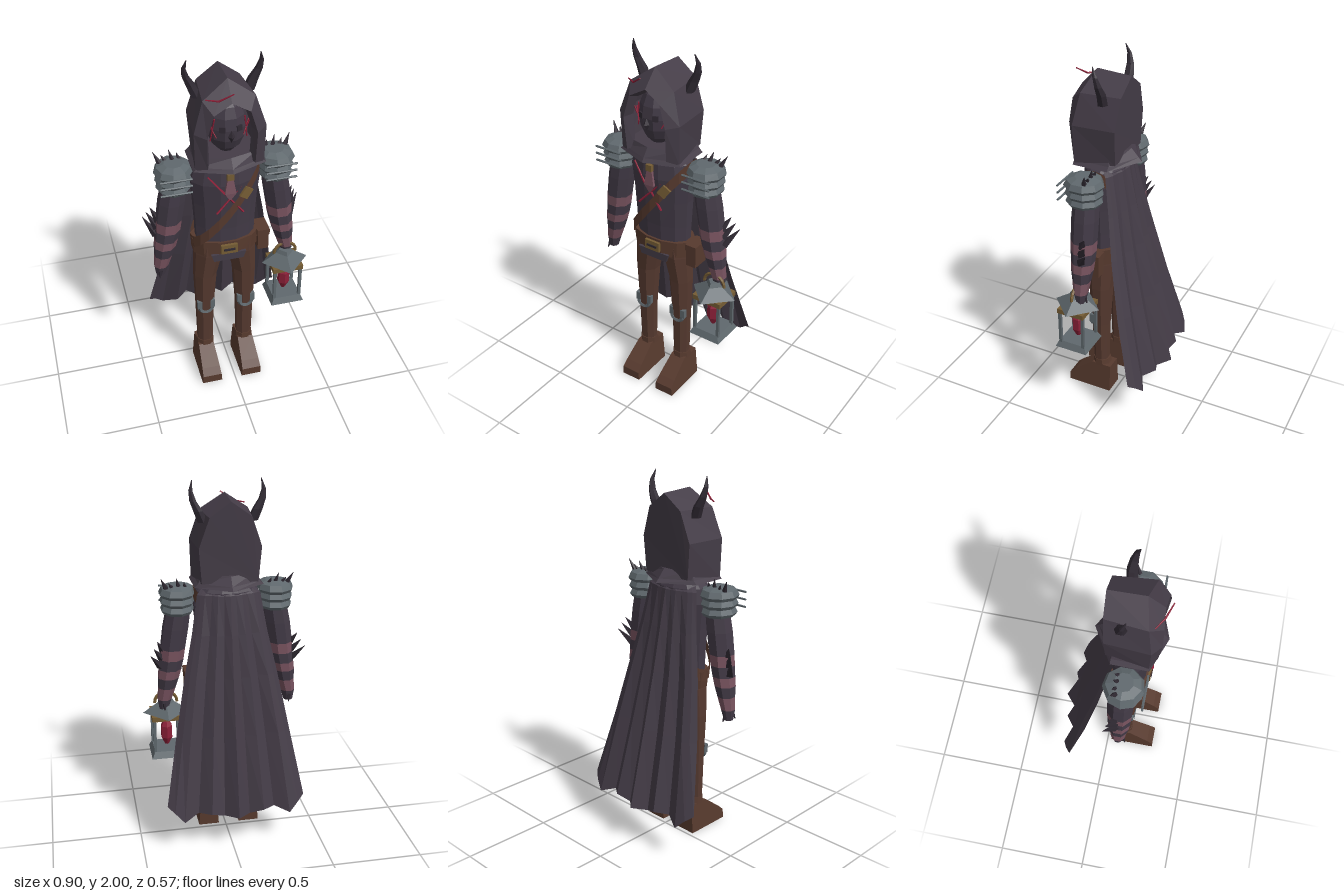
import * as THREE from 'three';

const mat = (name, color, side = THREE.FrontSide) => {
  const m = new THREE.MeshStandardMaterial({ color, flatShading: true, side });
  m.name = name;
  return m;
};

export function createModel() {
  const root = new THREE.Group();
  root.name = 'hoodedWanderer';
  const cloth = mat('cloakCloth', 0x443c47, THREE.DoubleSide);
  const tunic = mat('tunicCloth', 0x423a46);
  const trousers = mat('trouserBrown', 0x55392f);
  const leather = mat('bootLeather', 0x573a2e, THREE.DoubleSide);
  const steel = mat('steel', 0x5f686d);
  const pink = mat('wrapPink', 0x78535f);
  const gold = mat('brass', 0x755c34);
  const red = mat('crimson', 0x8c2038);
  const black = mat('hornBlack', 0x302a33);

  // Everything but the lantern is symmetric about this group's own x = 0
  const body = new THREE.Group();
  body.name = 'figure';
  body.position.x = -0.02;
  root.add(body);

  const add = (name, geo, material, x = 0, y = 0, z = 0, parent = body) => {
    const m = new THREE.Mesh(geo, material);
    m.name = name;
    m.position.set(x, y, z);
    parent.add(m);
    return m;
  };

  // Skin a list of point rings; closed rings wrap round, caps are fans
  const loft = (rings, closed = true, capStart = closed, capEnd = closed) => {
    const pos = [], n = rings[0].length;
    const tri = (...p) => p.forEach(v => pos.push(...v));
    for (let i = 0; i < rings.length - 1; i++)
      for (let j = 0; j < (closed ? n : n - 1); j++) {
        const k = (j + 1) % n, a = rings[i], b = rings[i + 1];
        tri(a[j], b[j], a[k]);
        tri(a[k], b[j], b[k]);
      }
    const last = rings[rings.length - 1];
    for (let j = 1; j < n - 1; j++) {
      if (capStart) tri(rings[0][0], rings[0][j], rings[0][j + 1]);
      if (capEnd) tri(last[0], last[j + 1], last[j]);
    }
    const g = new THREE.BufferGeometry();
    g.setAttribute('position', new THREE.Float32BufferAttribute(pos, 3));
    g.computeVertexNormals();
    return g;
  };

  // Rows of [x, y, z, rx, rz] going upwards make a limb of elliptical rings
  const limb = (rows, sides = 8) => loft(rows.map(([x, y, z, rx, rz]) =>
    Array.from({ length: sides }, (_, i) => {
      const a = (i + 0.5) / sides * Math.PI * 2;
      return [x + Math.cos(a) * rx, y, z + Math.sin(a) * rz];
    })));

  // Tapered rod between two points
  const rod = (name, from, to, r0, r1, material, parent = body, sides = 5) => {
    const a = new THREE.Vector3(...from), b = new THREE.Vector3(...to), d = b.clone().sub(a);
    const m = add(name, new THREE.CylinderGeometry(r1, r0, d.length(), sides), material, 0, 0, 0, parent);
    m.position.copy(a).add(b).multiplyScalar(0.5);
    m.quaternion.setFromUnitVectors(new THREE.Vector3(0, 1, 0), d.normalize());
    return m;
  };

  // Torso, belt, loin flap
  add('torso', limb([[0, 0.9, 0.1, 0.16, 0.09], [0, 1.05, 0.1, 0.165, 0.095], [0, 1.2, 0.1, 0.173, 0.108],
    [0, 1.34, 0.1, 0.188, 0.12], [0, 1.42, 0.1, 0.17, 0.112], [0, 1.5, 0.1, 0.09, 0.07]], 12), tunic);
  add('belt', limb([[0, 0.87, 0.098, 0.18, 0.104], [0, 0.965, 0.098, 0.188, 0.106]], 12), leather);
  add('loinFlap', new THREE.CylinderGeometry(0.1, 0.085, 0.045, 4, 1).rotateY(Math.PI / 4)
    .scale(1.35, 1, 0.1), cloth, 0, 0.865, 0.195);
  add('buckle', new THREE.BoxGeometry(0.09, 0.055, 0.02), gold, 0, 0.925, 0.205);
  add('buckleSlot', new THREE.BoxGeometry(0.06, 0.012, 0.008), black, 0, 0.925, 0.216);
  add('pouch', new THREE.BoxGeometry(0.06, 0.12, 0.1), leather, 0.205, 0.895, 0.1);
  add('pouchFlap', new THREE.BoxGeometry(0.068, 0.035, 0.108), leather, 0.205, 0.948, 0.1);

  // Diagonal chest strap
  const strapRing = dy => Array.from({ length: 20 }, (_, i) => {
    const a = i / 20 * Math.PI * 2, x = 0.183 * Math.cos(a);
    return [x, 1.175 + 1.28 * x + dy, 0.1 + 0.127 * Math.sin(a)];
  });
  add('chestStrap', loft([strapRing(-0.035), strapRing(0.035)], true, false, false), leather);
  const sb = add('strapBuckle', new THREE.BoxGeometry(0.05, 0.06, 0.012), gold, 0.085, 1.285, 0.218);
  sb.rotation.set(0, 0.25, -0.65);

  // Necktie and crossed scars
  add('tie', limb([[0, 1.26, 0.222, 0.006, 0.006], [0, 1.3, 0.224, 0.042, 0.01],
    [0, 1.4, 0.218, 0.018, 0.01]], 4), pink);
  add('tieKnot', new THREE.BoxGeometry(0.036, 0.035, 0.02), gold, 0, 1.4, 0.222);
  for (const [x0, y0, x1, y1] of [[-0.11, 1.4, -0.03, 1.3], [-0.08, 1.36, 0.07, 1.17], [0.06, 1.32, -0.07, 1.18]])
    rod('chestScar', [x0, y0, 0.216 - Math.abs(x0) * 0.15], [x1, y1, 0.222], 0.004, 0.006, red);

  // Arm centre and radius by height
  const armRows = [[0.355, 0.74, 0.026], [0.35, 0.8, 0.04], [0.335, 0.87, 0.05], [0.325, 0.93, 0.06],
    [0.315, 0.98, 0.064], [0.305, 1.04, 0.068], [0.298, 1.1, 0.07], [0.28, 1.22, 0.072], [0.25, 1.4, 0.065]];

  for (const s of [1, -1]) {
    const side = s > 0 ? 'left' : 'right';
    // Leg, boot and knee guard
    add(side + 'Leg', limb([[s * 0.115, 0.15, 0.1, 0.045, 0.042], [s * 0.115, 0.45, 0.1, 0.052, 0.052],
      [s * 0.11, 0.7, 0.1, 0.066, 0.068], [s * 0.088, 0.86, 0.1, 0.083, 0.085], [s * 0.08, 0.95, 0.1, 0.08, 0.085]]), trousers);
    const profile = new THREE.Shape([[0.025, 0], [0.285, 0], [0.285, 0.05], [0.25, 0.085], [0.14, 0.17], [0.025, 0.17]]
      .map(p => new THREE.Vector2(...p)));
    const boot = new THREE.ExtrudeGeometry(profile, { depth: 0.116, bevelEnabled: false })
      .rotateY(-Math.PI / 2).translate(0.058, 0, 0);
    const bp = boot.attributes.position;
    for (let i = 0; i < bp.count; i++) bp.setX(i, bp.getX(i) * (1 - bp.getY(i) * 1.4));
    add(side + 'Boot', boot, leather, s * 0.117);
    add(side + 'BootCuff', limb([[s * 0.115, 0.16, 0.095, 0.052, 0.055], [s * 0.115, 0.2, 0.098, 0.05, 0.05]]), leather);
    const knee = add(side + 'KneeGuard', new THREE.TorusGeometry(0.036, 0.012, 5, 8, Math.PI), steel, s * 0.115, 0.47, 0.145);
    knee.rotation.z = Math.PI;
    for (const k of [-1, 1])
      add(side + 'KneePlate', new THREE.BoxGeometry(0.026, 0.05, 0.025), steel, s * 0.115 + k * 0.037, 0.49, 0.138);

    // Arm in bands of cloth and wrapping
    for (let i = 0; i < armRows.length - 1; i++) {
      const wrapped = i === 1 || i === 3 || i === 5;
      add(side + (wrapped ? 'ArmWrap' : 'ArmSleeve'), limb([armRows[i], armRows[i + 1]]
        .map(([x, y, r]) => [s * x, y, 0.097, r, r])), wrapped ? pink : tunic);
    }
    for (let i = 0; i < 4; i++)
      rod(side + 'Claw', [s * 0.355, 0.78, 0.07 + i * 0.018], [s * (0.35 + i * 0.006), 0.735, 0.06 + i * 0.026], 0.012, 0.002, black);
    for (let i = 0; i < 3; i++)
      rod(side + 'ForearmSpike', [s * (0.365 - i * 0.008), 1 + i * 0.045, 0.085],
        [s * (0.425 - i * 0.02), 1.085 + i * 0.035, 0.025 + i * 0.012], 0.024, 0.001, black, body, 4);

    // Layered shoulder plates with rivet rods and spikes
    for (let i = 0; i < 3; i++) {
      const y = 1.3 + i * 0.045, r = 0.092 + i * 0.004;
      add(side + 'ShoulderPlate', limb([[s * 0.267, y, 0.105, r - 0.012, r - 0.005], [s * 0.267, y + 0.018, 0.105, r, r + 0.007],
        [s * 0.265, y + 0.048, 0.105, r - 0.012, r - 0.008],
        [s * 0.262, y + 0.063, 0.105, r * 0.5, r * 0.5]], 9), steel);
      rod(side + 'ShoulderRod', [s * 0.19, 1.335 + i * 0.04, 0.213], [s * 0.352, 1.335 + i * 0.04, 0.213], 0.006, 0.006, steel);
    }
    for (let i = 0; i < 4; i++)
      rod(side + 'ShoulderSpike', [s * (0.225 + i * 0.033), 1.435, 0.075],
        [s * (0.235 + i * 0.04), 1.475 + (i % 2) * 0.025, 0.055], 0.016, 0.001, black);

    // Curved horn
    add(side + 'Horn', limb([[s * 0.13, 1.79, 0.065, 0.03, 0.028], [s * 0.155, 1.85, 0.06, 0.027, 0.026],
      [s * 0.18, 1.9, 0.065, 0.019, 0.02], [s * 0.19, 1.95, 0.075, 0.011, 0.013], [s * 0.18, 2, 0.092, 0.002, 0.002]], 6), black);
  }

  // Hood: arches given as half outlines, running from back to the inside of the brow
  const arch = half => [...half.slice(1).reverse().map(([x, y, z]) => [-x, y, z]), ...half];
  const hoodArches = [
    [[0, 1.91, -0.03], [0.11, 1.83, -0.025], [0.165, 1.67, -0.015], [0.15, 1.48, -0.01]],
    [[0, 1.92, 0.16], [0.13, 1.83, 0.19], [0.18, 1.67, 0.215], [0.175, 1.46, 0.21]],
    [[0, 1.83, 0.245], [0.09, 1.78, 0.255], [0.125, 1.66, 0.26], [0.12, 1.48, 0.245]],
    [[0, 1.81, 0.2], [0.08, 1.76, 0.2], [0.11, 1.66, 0.2], [0.1, 1.48, 0.2]]].map(arch);
  add('hood', loft(hoodArches, false, true, false), cloth);
  const collarRing = (y, zf, x, zs, zb, zt) =>
    [[x, y, zb], [x, y, zs], [0, y, zf], [-x, y, zs], [-x, y, zb], [0, y, zt]];
  add('collar', loft([collarRing(1.455, 0.283, 0.185, 0.215, 0.02, -0.09),
    collarRing(1.475, 0.27, 0.165, 0.21, 0.02, -0.07), collarRing(1.52, 0.235, 0.14, 0.2, 0.03, -0.03)]), cloth);
  rod('hoodScratchLow', [-0.12, 1.85, 0.215], [-0.065, 1.855, 0.25], 0.003, 0.005, red);
  rod('hoodScratchHigh', [-0.065, 1.855, 0.25], [0, 1.9, 0.28], 0.005, 0.003, red);

  // Face with eyes, nose and scars
  add('face', new THREE.SphereGeometry(1, 10, 8).scale(0.1, 0.16, 0.1), tunic, 0, 1.67, 0.135);
  add('nose', new THREE.OctahedronGeometry(1).scale(0.018, 0.034, 0.02), black, 0, 1.645, 0.238);
  for (const s of [1, -1]) {
    const eye = add('eye', new THREE.BoxGeometry(0.03, 0.03, 0.008), black, s * 0.042, 1.68, 0.224);
    eye.rotation.y = s * 0.4;
    rod('faceScar', [s * 0.075, 1.73, 0.2], [s * 0.092, 1.6, 0.182], 0.004, 0.003, red);
    rod('faceScar', [s * 0.1, 1.7, 0.18], [s * 0.068, 1.63, 0.21], 0.004, 0.003, red);
    rod('faceScar', [s * 0.108, 1.74, 0.205], [s * 0.085, 1.67, 0.2], 0.003, 0.004, red);
  }

  // Pleated cape: hem points blended up to a narrow shoulder line
  const hemHalf = [[0, 0.22, -0.29], [0.07, 0.21, -0.228], [0.145, 0.24, -0.258], [0.212, 0.23, -0.205],
    [0.295, 0.2, -0.248], [0.345, 0.25, -0.225], [0.383, 0.28, -0.195]];
  const hem = arch(hemHalf);
  const capeRows = [[1.47, 0.1, 0.05, 0], [1.41, 0.17, -0.015, 0.1], [1.2, 0.205, -0.05, 0.3],
    [0.97, 0.255, -0.09, 0.5], [0.65, 0.315, -0.155, 0.75], [0, 0.383, -0.25, 1]];
  add('cape', loft(capeRows.map(([y, w, z, f]) => hem.map(([hx, hy, hz]) => [hx / 0.383 * w,
    (y || hy), z + (hz + 0.25) * f + (1 - f) * 0.05 * (hx / 0.383) ** 2])), false), cloth);

  // Lantern
  const lantern = new THREE.Group();
  lantern.name = 'lantern';
  lantern.position.set(0.32, 0, 0.125);
  root.add(lantern);
  const part = (name, geo, m, x, y, z) => add(name, geo, m, x, y, z, lantern);
  part('lanternRoof', new THREE.CylinderGeometry(0.05, 0.13, 0.055, 4), steel, 0, 0.735, 0);
  part('lanternCap', new THREE.CylinderGeometry(0.035, 0.05, 0.025, 4), steel, 0, 0.772, 0);
  part('lanternRim', new THREE.BoxGeometry(0.172, 0.028, 0.155), gold, 0, 0.694, 0);
  part('lanternBase', new THREE.CylinderGeometry(0.108, 0.132, 0.036, 4, 1, false, Math.PI / 4), steel, 0, 0.475, 0);
  part('lanternFoot', new THREE.CylinderGeometry(0.085, 0.085, 0.01, 4), gold, 0, 0.456, 0);
  for (const x of [-1, 1]) for (const z of [-1, 1])
    part('lanternPost', new THREE.BoxGeometry(0.016, 0.2, 0.016), steel, x * 0.073, 0.585, z * 0.068);
  part('lanternHandle', new THREE.TorusGeometry(0.062, 0.009, 5, 10, Math.PI), gold, 0, 0.765, 0);
  part('crystal', limb([[0, 0.505, 0, 0.012, 0.012], [0, 0.55, 0, 0.034, 0.034],
    [0, 0.62, 0, 0.034, 0.034], [0, 0.665, 0, 0.008, 0.008]], 6), red, 0, 0, 0);
  return root;
}
